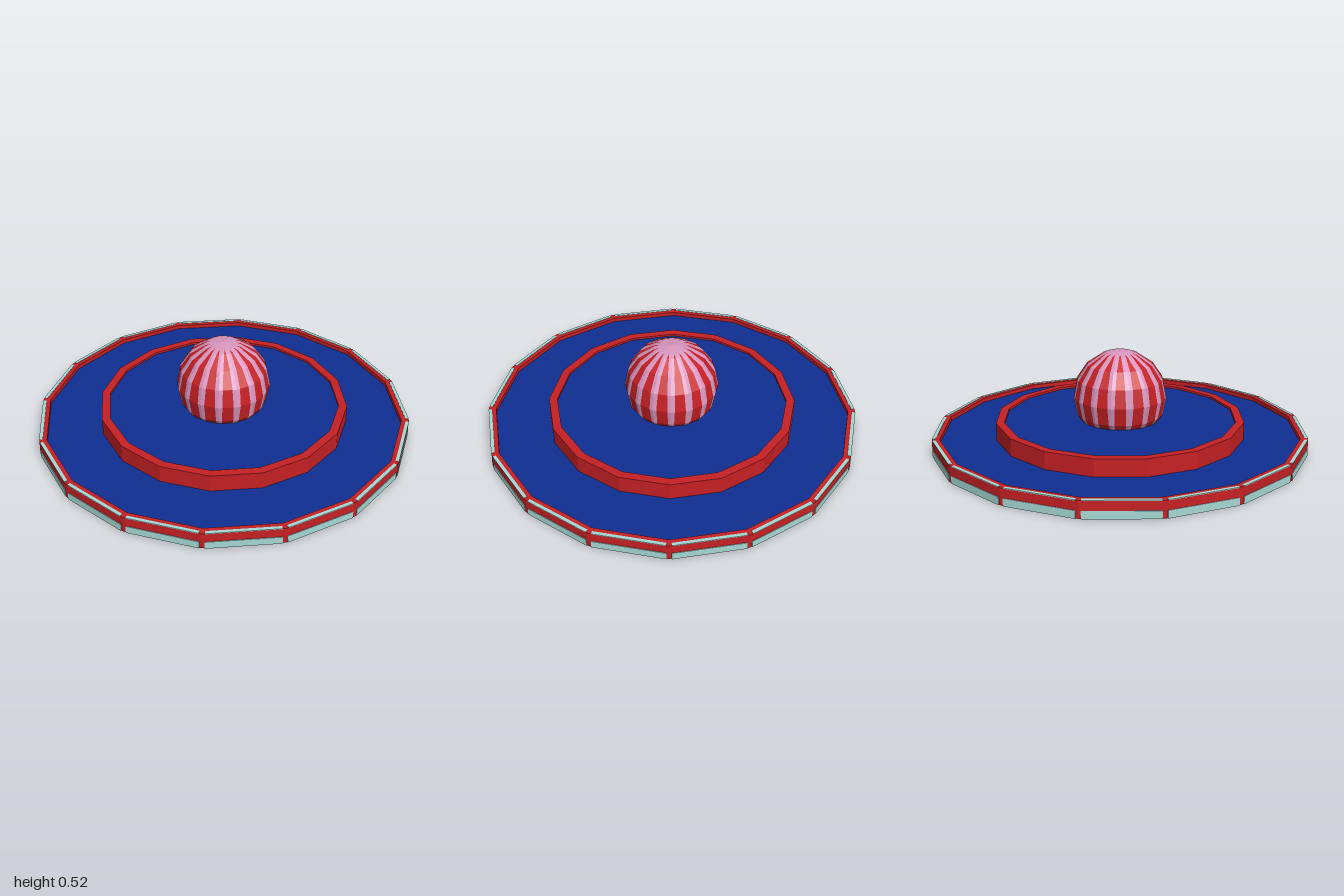
import * as THREE from 'three';

const SIDES = 16;
const STEP = (Math.PI * 2) / SIDES;
const APOTHEM = Math.cos(STEP / 2);

function material(name, color) {
  const m = new THREE.MeshStandardMaterial({ color });
  m.name = name;
  return m;
}

// Give every facet its own hard normals
function faceted(geometry) {
  const g = geometry.index ? geometry.toNonIndexed() : geometry;
  g.computeVertexNormals();
  return g;
}

function addMesh(parent, name, geometry, mat) {
  const mesh = new THREE.Mesh(geometry, mat);
  mesh.name = name;
  parent.add(mesh);
  return mesh;
}

// Closed [radius, height] profile swept into a sixteen-sided ring
function ring(profile) {
  const points = [...profile, profile[0]].map(([r, y]) => new THREE.Vector2(r, y));
  return faceted(new THREE.LatheGeometry(points, SIDES));
}

function squareRing(inner, outer, bottom, top) {
  return ring([[outer, bottom], [outer, top], [inner, top], [inner, bottom]]);
}

function disc(radius, bottom, top) {
  const g = new THREE.CylinderGeometry(radius, radius, top - bottom, SIDES);
  return faceted(g.translate(0, (bottom + top) / 2, 0));
}

// Faceted ball split into a tapering red gore and two pink edges per side
function ballStripes(radius, centreY) {
  // [polar angle in degrees, share of each side that is red]
  const rows = [[0, 0], [16, 0], [22.5, 0.28], [45, 0.5], [67.5, 0.55], [90, 0.6],
    [112.5, 0.65], [135, 0.72], [157.5, 0.85], [180, 0.85]];
  const red = [];
  const pink = [];
  const corner = (deg, k) => new THREE.Vector3().setFromSphericalCoords(radius, THREE.MathUtils.degToRad(deg), k * STEP);
  const quad = (out, a, b, c, d) => {
    for (const p of [a, b, c, a, c, d]) out.push(p.x, p.y + centreY, p.z);
  };
  for (let k = 0; k < SIDES; k++) {
    const cuts = rows.map(([deg, share]) => {
      const a = corner(deg, k);
      const b = corner(deg, k + 1);
      return [0, (1 - share) / 2, (1 + share) / 2, 1].map((t) => a.clone().lerp(b, t));
    });
    for (let i = 0; i + 1 < cuts.length; i++) {
      for (let j = 0; j < 3; j++) {
        quad(j === 1 ? red : pink, cuts[i][j], cuts[i + 1][j], cuts[i + 1][j + 1], cuts[i][j + 1]);
      }
    }
  }
  return [red, pink].map((values) => {
    const g = new THREE.BufferGeometry();
    g.setAttribute('position', new THREE.Float32BufferAttribute(values, 3));
    return faceted(g);
  });
}

export function createModel() {
  const red = material('red', 0xc62024);
  const blue = material('deep blue', 0x0e2e92);
  const pale = material('pale aqua', 0xa6d8d4);
  const pink = material('pink', 0xd896be);
  const model = new THREE.Group();
  model.name = 'roundPlatform';

  // Outer rim with its pale foot
  addMesh(model, 'outerRim', squareRing(0.96, 1, 0.002, 0.09), red);
  addMesh(model, 'rimFoot', ring([[0.997, 0], [0.997, 0.003], [0.96, 0.003], [0.96, 0.03], [0.956, 0.03], [0.956, 0]]), pale);

  // Pale panels on each side of the rim, leaving red posts at the corners
  const panels = new THREE.Group();
  panels.name = 'rimPanels';
  model.add(panels);
  for (let k = 0; k < SIDES; k++) {
    const side = new THREE.Group();
    side.name = 'rimPanelPair';
    side.rotation.y = (k + 0.5) * STEP;
    panels.add(side);
    addMesh(side, 'lowerPanel', new THREE.BoxGeometry(0.365, 0.04, 0.006), pale).position.set(0, 0.02, APOTHEM);
    addMesh(side, 'topPanel', new THREE.BoxGeometry(0.36, 0.004, 0.018), pale).position.set(0, 0.09, APOTHEM - 0.007);
  }

  // Lower deck and the ring beneath it
  addMesh(model, 'lowerDeck', disc(0.965, 0.06, 0.067), blue);
  addMesh(model, 'underRing', squareRing(0.65, 0.965, 0.028, 0.061), red);
  addMesh(model, 'underBand', squareRing(0.83, 0.958, 0.024, 0.029), pale);

  // Raised inner stage
  addMesh(model, 'stageRim', squareRing(0.62, 0.665, 0.064, 0.16), red);
  addMesh(model, 'stageDeck', disc(0.63, 0.064, 0.148), blue);

  // Striped ball in the centre
  const ball = new THREE.Group();
  ball.name = 'stripedBall';
  model.add(ball);
  const [redStripes, pinkStripes] = ballStripes(0.25, 0.272);
  addMesh(ball, 'redStripes', redStripes, red);
  addMesh(ball, 'pinkStripes', pinkStripes, pink);

  return model;
}
